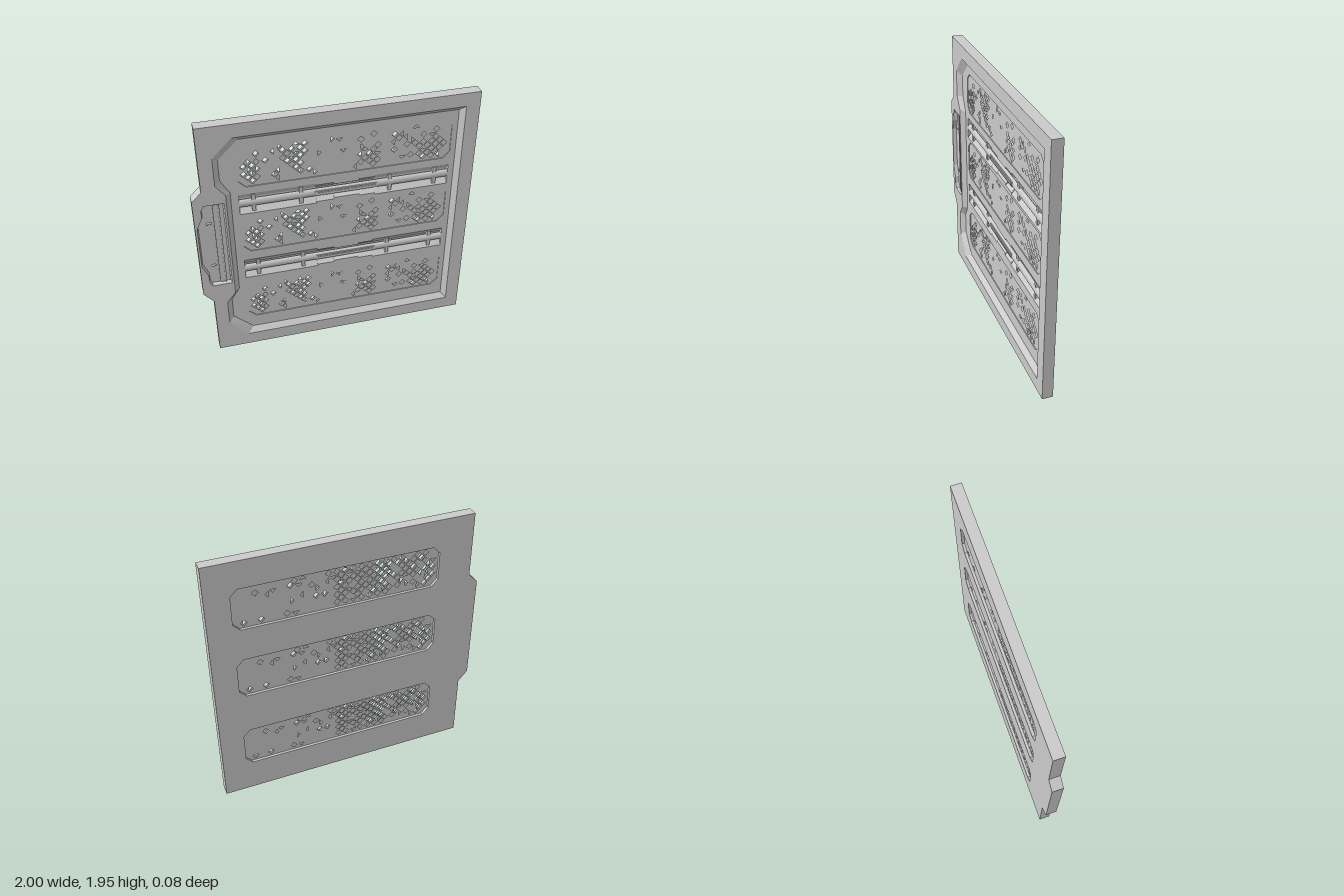
import * as THREE from 'three';

const mat = new THREE.MeshStandardMaterial({ color: 0xcccccc, flatShading: true });
const thinMat = new THREE.MeshStandardMaterial({ color: 0xcccccc, flatShading: true, side: THREE.DoubleSide });
const smoothMat = new THREE.MeshStandardMaterial({ color: 0xcccccc });

const FRONT = 0.04, FLOOR = 0.005, GROOVE = -0.032, BACK = -0.04, POCKET = 0.012;

function add(parent, name, geometry, material = mat) {
  const mesh = new THREE.Mesh(geometry, material);
  mesh.name = name;
  parent.add(mesh);
  return mesh;
}

function box(parent, name, x0, x1, y0, y1, z0, z1) {
  const mesh = add(parent, name, new THREE.BoxGeometry(x1 - x0, y1 - y0, z1 - z0));
  mesh.position.set((x0 + x1) / 2, (y0 + y1) / 2, (z0 + z1) / 2);
}

// Flat face bounded by a loop, with holes, at depth z
function face(loop, holes, z, flip = false) {
  const v2 = (l) => l.map(([x, y]) => new THREE.Vector2(x, y));
  const shape = new THREE.Shape(v2(loop));
  shape.holes = holes.map((h) => new THREE.Path(v2(h)));
  const g = new THREE.ShapeGeometry(shape);
  g.translate(0, 0, z);
  if (flip) {
    g.setIndex(Array.from(g.index.array).reverse());
    g.computeVertexNormals();
  }
  return g;
}

// Wall joining two counter-clockwise loops of equal length
function wall(a, za, b, zb) {
  const p = [];
  a.forEach((_, i) => {
    const j = (i + 1) % a.length;
    const A = [...a[i], za], B = [...a[j], za], C = [...b[j], zb], D = [...b[i], zb];
    p.push(...A, ...B, ...C, ...A, ...C, ...D);
  });
  const g = new THREE.BufferGeometry();
  g.setAttribute('position', new THREE.Float32BufferAttribute(p, 3));
  g.computeVertexNormals();
  return g;
}

const outline = [[-0.93, 0], [1, 0], [1, 1.945], [-0.93, 1.945], [-0.93, 1.46],
  [-1, 1.39], [-1, 0.57], [-0.93, 0.49]];
const recessTop = [[-0.7, 0.1], [0.9, 0.1], [0.9, 1.845], [-0.7, 1.845], [-0.835, 1.705],
  [-0.835, 1.495], [-0.77, 1.41], [-0.77, 0.54], [-0.835, 0.455], [-0.835, 0.25]];
const recessFloor = [[-0.655, 0.14], [0.865, 0.14], [0.865, 1.808], [-0.655, 1.808], [-0.797, 1.67],
  [-0.797, 1.51], [-0.735, 1.4], [-0.735, 0.55], [-0.797, 0.445], [-0.797, 0.275]];
const pocketTop = [[-0.925, 0.64], [-0.785, 0.64], [-0.785, 1.347], [-0.925, 1.347], [-0.945, 1.31],
  [-0.945, 1.25], [-0.985, 1.16], [-0.985, 0.827], [-0.945, 0.737], [-0.945, 0.677]];
const pocketFloor = pocketTop.map(([x, y]) =>
  [-0.87 + (x + 0.87) * 0.92, 0.9935 + (y - 0.9935) * 0.975]);

// Chamfered window loop
function windowLoop(y0, y1) {
  const l = -0.675, r = 0.825, c = 0.05;
  return [[l + c, y0], [r - c, y0], [r, y0 + c], [r, y1 - c],
    [r - c, y1], [l + c, y1], [l, y1 - c], [l, y0 + c]];
}

// Slot mouth with a stepped narrowing at the middle
function slotLoop(cy, depth) {
  const half = [[-0.68, 0.082], [-0.14, 0.082], [-0.14, 0.07], [-0.015, 0.07], [-0.015, 0.057],
    [0.165, 0.057], [0.165, 0.07], [0.28, 0.07], [0.28, 0.082], [0.823, 0.082]];
  const h = (y) => (depth ? 0.03 : y);
  return [...half.map(([x, y]) => [x, cy - h(y)]), ...half.reverse().map(([x, y]) => [x, cy + h(y)])];
}

// Diamond mesh openings; density(x, v) gives the share of open cells
function meshHoles(y0, y1, density, seed) {
  let s = seed;
  const rand = () => (s = (s * 16807) % 2147483647) / 2147483647;
  const holes = [], r = 0.023, midY = (y0 + y1) / 2;
  for (let row = -4; row <= 4; row++) {
    for (let col = 0; col < 24; col++) {
      const x = -0.635 + col * 0.06 + (row & 1 ? 0.03 : 0), y = midY + row * 0.03;
      const chance = rand(), kind = rand();
      if (x > 0.795 || (Math.abs(row) > 2 && (x < -0.61 || x > 0.77))) continue;
      const d = density(x, row / 4);
      if (chance > d) continue;
      const pts = [[x, y - r], [x + r, y], [x, y + r], [x - r, y]];
      if (kind > 0.35 + d * 0.6) pts.splice(Math.floor(kind * 97) % 4, 1);
      holes.push(pts);
    }
  }
  return holes;
}

const frontDensity = (x, v) => {
  if (x < -0.52) return v < 0.3 ? 0.9 : 0.45;
  if (x > -0.4 && x < -0.2) return 0.6;
  if (x > 0.16 && x < 0.32) return 0.65;
  if (x > 0.55) return v < 0.1 ? 0.9 : 0.4;
  return 0.2;
};
const rearDensity = (x, v) => {
  if (x < -0.5) return v < 0.2 ? 0.7 : 0.4;
  if (x < 0.1) return x > -0.3 || v > -0.3 ? 0.9 : 0.5;
  return 0.2;
};

export function createModel() {
  const model = new THREE.Group();
  model.name = 'ventPanel';
  const spans = [[0.245, 0.56], [0.875, 1.187], [1.43, 1.742]];
  const windows = spans.map(([a, b]) => windowLoop(a, b));
  const slotYs = [0.716, 1.29];

  // Panel shell
  const panel = new THREE.Group();
  panel.name = 'panel';
  model.add(panel);
  add(panel, 'frontFrame', face(outline, [recessTop, pocketTop], FRONT));
  add(panel, 'backFace', face(outline, windows, BACK, true));
  add(panel, 'outerEdge', wall(outline, BACK, outline, FRONT));
  add(panel, 'recessBevel', wall(recessTop, FRONT, recessFloor, FLOOR));
  add(panel, 'recessFloor', face(recessFloor, [...windows, ...slotYs.map((y) => slotLoop(y, false))], FLOOR));

  // Windows with a front and rear layer of pierced mesh
  windows.forEach((loop, i) => {
    const grille = new THREE.Group();
    grille.name = 'grille';
    model.add(grille);
    add(grille, 'windowEdge', wall(loop, FLOOR, loop, BACK));
    add(grille, 'frontMesh', face(loop, meshHoles(...spans[i], frontDensity, 4242), FLOOR - 0.006), thinMat);
    add(grille, 'rearMesh', face(loop, meshHoles(...spans[i], rearDensity, 977), -0.02), thinMat);
  });

  // Slots with a rod, brackets and a centre plate
  slotYs.forEach((y) => {
    const slot = new THREE.Group();
    slot.name = 'rodSlot';
    model.add(slot);
    add(slot, 'slotSides', wall(slotLoop(y, false), FLOOR, slotLoop(y, true), GROOVE));
    add(slot, 'slotBottom', face([[-0.68, y - 0.03], [0.823, y - 0.03], [0.823, y + 0.03], [-0.68, y + 0.03]], [], GROOVE));
    const rod = add(slot, 'rod', new THREE.CylinderGeometry(0.03, 0.03, 1.503, 24), smoothMat);
    rod.rotation.z = Math.PI / 2;
    rod.scale.z = 0.6;
    rod.position.set(0.0715, y, -0.012);
    for (const x of [-0.58, -0.248, 0.393, 0.725]) {
      box(slot, 'bracket', x - 0.013, x + 0.013, y - 0.068, y + 0.068, -0.03, 0);
    }
    box(slot, 'plate', -0.15, 0.295, y - 0.018, y + 0.018, -0.015, 0.009);
    box(slot, 'plateRidge', -0.14, 0.285, y - 0.007, y + 0.007, 0, 0.013);
  });

  // Handle pocket on the side tab
  const handle = new THREE.Group();
  handle.name = 'handlePocket';
  model.add(handle);
  add(handle, 'pocketSides', wall(pocketTop, FRONT, pocketFloor, POCKET));
  add(handle, 'pocketFloor', face(pocketFloor, [], POCKET));
  box(handle, 'gripBar', -0.866, -0.83, 0.655, 1.335, POCKET, 0.026);
  box(handle, 'gripRidge', -0.83, -0.82, 0.655, 1.335, POCKET, 0.032);
  for (const y of [0.81, 1.18]) {
    const button = add(handle, 'button', new THREE.CapsuleGeometry(0.008, 0.022, 4, 10), smoothMat);
    button.rotation.z = Math.PI / 2;
    button.position.set(-0.902, y, POCKET + 0.004);
  }
  return model;
}
